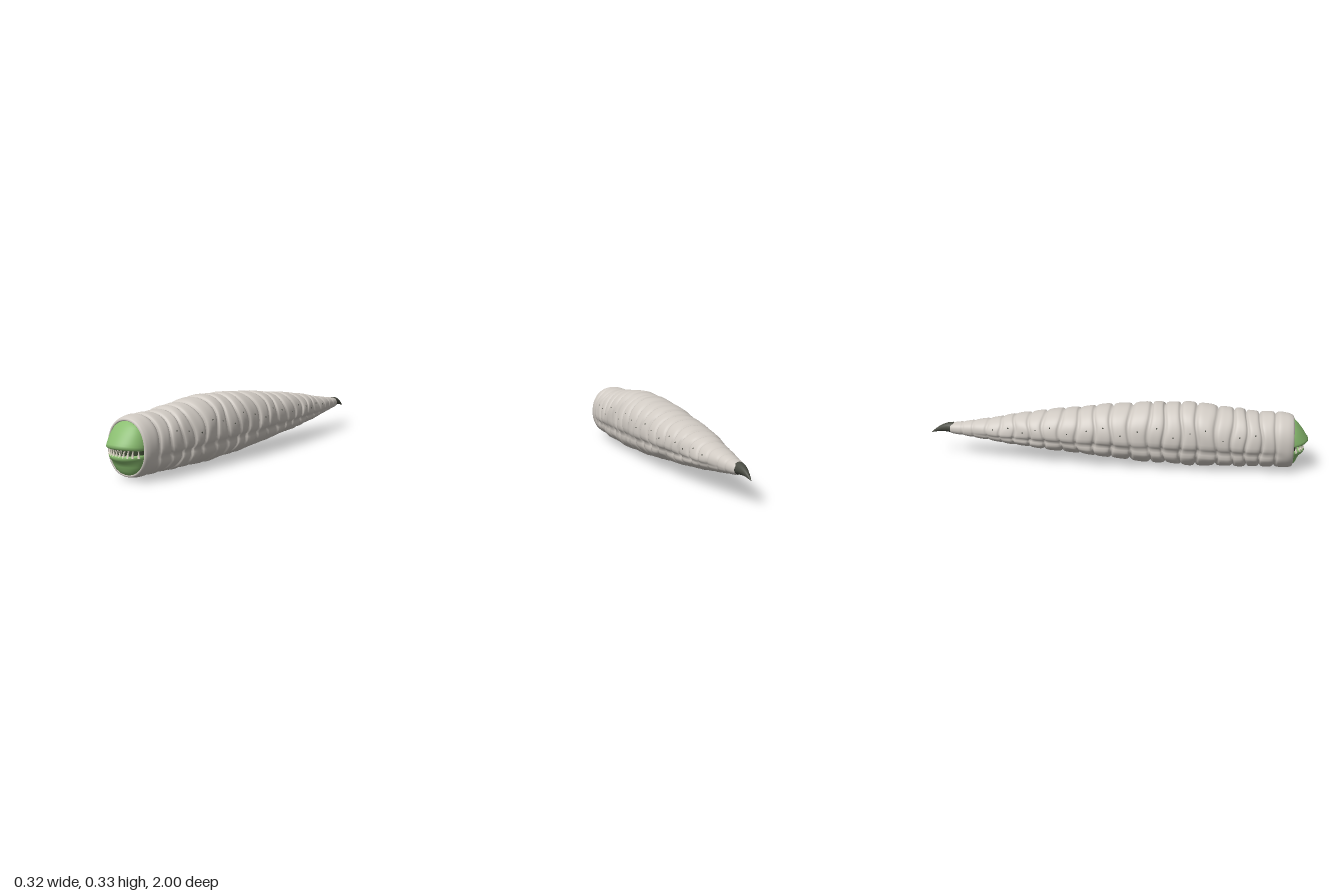
import * as THREE from 'three';
import { mergeVertices } from 'three/addons/utils/BufferGeometryUtils.js';

const mat = (name, color) => {
  const m = new THREE.MeshStandardMaterial({ color });
  m.name = name;
  return m;
};

// Smooth surface from a rule giving a point for each column i and row j
function grid(cols, rows, rule) {
  const pos = [], index = [];
  for (let j = 0; j <= rows; j++)
    for (let i = 0; i <= cols; i++) pos.push(...rule(i / cols, j));
  for (let j = 0; j < rows; j++)
    for (let i = 0; i < cols; i++) {
      const a = j * (cols + 1) + i, b = a + 1, c = a + cols + 1, d = c + 1;
      index.push(a, b, d, a, d, c);
    }
  let g = new THREE.BufferGeometry();
  g.setAttribute('position', new THREE.Float32BufferAttribute(pos, 3));
  g.setIndex(index);
  g = mergeVertices(g, 1e-5);
  g.computeVertexNormals();
  return g;
}

// Body outline along its length: z, bottom, top, half width
const OUTLINE = [
  [-0.9, 0.125, 0.178, 0.031], [-0.8, 0.113, 0.192, 0.048], [-0.6, 0.085, 0.228, 0.087],
  [-0.4, 0.064, 0.265, 0.118], [-0.2, 0.046, 0.29, 0.135], [0, 0.028, 0.315, 0.151],
  [0.2, 0.013, 0.333, 0.156], [0.35, 0.007, 0.337, 0.157], [0.5, 0.005, 0.33, 0.154],
  [0.7, 0.012, 0.302, 0.146], [0.85, 0.013, 0.302, 0.131], [0.93, 0.013, 0.292, 0.12],
];
// Creases between the rings
const CREASES = [-0.89, -0.82, -0.76, -0.68, -0.605, -0.53, -0.445, -0.37, -0.28, -0.19, -0.1,
  -0.01, 0.085, 0.185, 0.26, 0.35, 0.43, 0.53, 0.61, 0.68, 0.755, 0.83, 0.92];

function outlineAt(z) {
  let k = 0;
  while (k < OUTLINE.length - 2 && z > OUTLINE[k + 1][0]) k++;
  const a = OUTLINE[k], b = OUTLINE[k + 1];
  const t = THREE.MathUtils.clamp((z - a[0]) / (b[0] - a[0]), 0, 1);
  return [1, 2, 3].map((n) => a[n] + (b[n] - a[n]) * t);
}

// Point on the skin: position, angle, scale, ring number
function skin(z, angle, scale, ring) {
  const [low, high, w] = outlineAt(z);
  const mid = low + (high - low) * 0.48;
  const c = Math.cos(angle), s = Math.sin(angle);
  const fade = THREE.MathUtils.smoothstep(0.9 - z, 0, 0.15) * THREE.MathUtils.smoothstep(z, -0.88, -0.5);
  // folds on both flanks and along the belly
  const flank = Math.exp(-(((s + 0.3) / 0.12) ** 2));
  const belly = Math.exp(-(((Math.abs(c) - 0.45) / 0.12) ** 2)) * (s < 0 ? 1 : 0);
  const lump = 0.012 * Math.sin(3 * s + ring * 2.3) + 0.008 * Math.sin(7 * s + ring * 1.7 + 2 * c * c);
  const r = scale * (1 - fade * (0.085 * flank + 0.025 * belly - lump));
  const x = Math.sign(c) * Math.abs(c) ** 0.93 * w * r;
  const y = mid + (s > 0 ? high - mid : mid - low) * Math.sign(s) * Math.abs(s) ** 0.93 * r;
  const shift = fade * 0.008 * Math.sin(4 * s + ring * 1.3);
  return [x, y, z + shift];
}

function bodyGeometry() {
  const rows = [], steps = 10;
  for (let k = 0; k < CREASES.length - 1; k++)
    for (let n = 0; n < steps; n++) {
      const t = n / steps;
      const bulge = Math.sqrt(1 - Math.abs(2 * t - 1) ** 3.5);
      rows.push([CREASES[k] + (CREASES[k + 1] - CREASES[k]) * t, 0.89 + 0.11 * bulge, k + t]);
    }
  // rolled rim of the head opening
  rows.push([0.918, 0.955, 22], [0.922, 0.91, 22], [0.918, 0.88, 22], [0.87, 0.85, 22]);
  return grid(64, rows.length - 1, (u, j) => skin(rows[j][0], u * Math.PI * 2, rows[j][1], rows[j][2]));
}

// Jaw surface from rows of height, half width, depth, droop at the corners
function jawGeometry(rows) {
  return grid(32, rows.length - 1, (u, j) => {
    const [y, w, d, droop] = rows[j], a = (u - 0.5) * Math.PI;
    return [w * Math.sin(a), y + droop * Math.sin(a) ** 2, 0.9 + d * Math.cos(a)];
  });
}

export function createModel() {
  const group = new THREE.Group();
  const skinMat = mat('pale skin', 0xd0cac3), green = mat('green head', 0x8abd70);
  const dark = mat('dark mouth', 0x39462f), ivory = mat('ivory teeth', 0xe2dccb);
  const horn = mat('dark horn', 0x4a4c43);
  green.side = dark.side = THREE.DoubleSide;
  const add = (name, geo, material, parent = group) => {
    const m = new THREE.Mesh(geo, material);
    m.name = name;
    parent.add(m);
    return m;
  };

  add('ringedBody', bodyGeometry(), skinMat);

  // Breathing pores along both flanks
  const pores = new THREE.Group();
  pores.name = 'pores';
  group.add(pores);
  const poreGeo = new THREE.SphereGeometry(0.004, 8, 6);
  for (let k = 3; k < 20; k++)
    for (const side of [-1, 1]) {
      const a = 0.3 + 0.15 * Math.sin(k * 2.1);
      const p = skin((CREASES[k] + CREASES[k + 1]) / 2, side > 0 ? a : Math.PI - a, 0.992, k + 0.5);
      add('pore', poreGeo, horn, pores).position.set(...p);
    }

  // Head
  add('upperJaw', jawGeometry([
    [0.162, 0.09, 0.045, -0.006], [0.153, 0.1, 0.075, -0.004], [0.156, 0.104, 0.091, -0.005],
    [0.165, 0.106, 0.1, -0.008], [0.177, 0.106, 0.097, -0.012], [0.19, 0.105, 0.087, -0.012],
    [0.21, 0.1, 0.075, -0.008], [0.23, 0.09, 0.06, -0.004], [0.25, 0.076, 0.043, 0],
    [0.264, 0.055, 0.03, 0], [0.276, 0.02, 0.012, 0],
  ]), green);
  add('lowerJaw', jawGeometry([
    [0.024, 0.02, 0.012, 0], [0.034, 0.05, 0.029, 0], [0.05, 0.074, 0.041, 0],
    [0.07, 0.09, 0.049, 0.004], [0.088, 0.098, 0.058, 0.01], [0.1, 0.102, 0.074, 0.012],
    [0.112, 0.103, 0.082, 0.01], [0.122, 0.101, 0.079, 0.006], [0.126, 0.098, 0.066, 0.004],
    [0.118, 0.09, 0.045, 0.006],
  ]), green);
  add('mouthInterior', jawGeometry([[0.1, 0.098, 0.045, 0], [0.175, 0.098, 0.045, 0]]), dark);

  // Interlocking teeth
  const teeth = new THREE.Group();
  teeth.name = 'teeth';
  group.add(teeth);
  const toothRow = (name, count, y, radius, height, up) => {
    const geo = new THREE.ConeGeometry(radius, height, 8);
    for (let i = 0; i < count; i++) {
      const x = -0.088 + (0.176 * i) / (count - 1);
      const tooth = add(name, geo, ivory, teeth);
      tooth.position.set(x, y, 0.9 + 0.072 * Math.sqrt(1 - (x / 0.1) ** 2));
      if (!up) tooth.rotation.x = Math.PI;
    }
  };
  toothRow('lowerTooth', 10, 0.134, 0.0085, 0.032, true);
  toothRow('upperTooth', 11, 0.147, 0.007, 0.026, false);

  // Hooked tail claw: z, centre y, half width, half height
  const claw = [[-1, 0.123, 0.0005, 0.0005], [-0.985, 0.131, 0.005, 0.006], [-0.965, 0.141, 0.01, 0.012],
    [-0.94, 0.15, 0.016, 0.018], [-0.91, 0.155, 0.023, 0.025], [-0.88, 0.155, 0.028, 0.029],
    [-0.868, 0.155, 0.024, 0.025]];
  add('tailClaw', grid(20, claw.length - 1, (u, j) => {
    const [z, y, rx, ry] = claw[j], a = u * Math.PI * 2;
    return [rx * Math.cos(a), y + ry * Math.sin(a), z];
  }), horn);

  return group;
}
